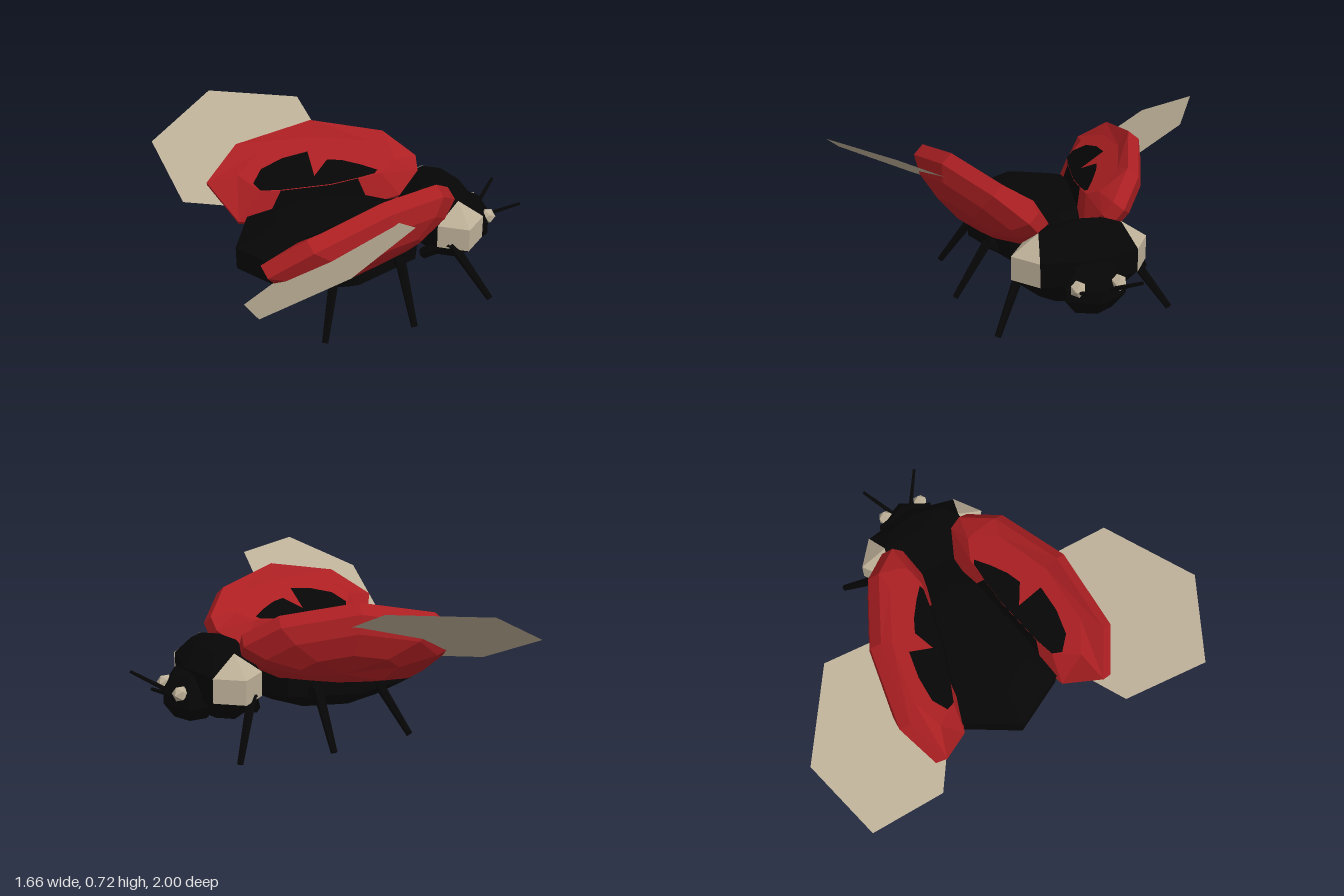
import * as THREE from 'three';

const material = (name, color, side = THREE.FrontSide) => {
  const m = new THREE.MeshStandardMaterial({ color, flatShading: true, side });
  m.name = name;
  return m;
};

function named(name, geo, mat) {
  const mesh = new THREE.Mesh(geo, mat);
  mesh.name = name;
  return mesh;
}

// Mesh from a list of triangles, each a triple of Vector3
function triMesh(name, tris, mat) {
  const geo = new THREE.BufferGeometry().setFromPoints(tris.flat());
  geo.computeVertexNormals();
  return named(name, geo, mat);
}

// Faceted rounded solid: profile of [radius ratio, height], a corner pointing along x
function facetedSolid(name, profile, sides, rx, rz, cx, mat) {
  const geo = new THREE.LatheGeometry(profile.map(([r, y]) => new THREE.Vector2(r, y)), sides, Math.PI / 2);
  geo.scale(rx, 1, rz).translate(cx, 0, 0);
  return named(name, geo, mat);
}

// Tilted plane through o with normal n, giving height from plan position
const tilted = (n, o) => (x, z) => o.y - (n.x * (x - o.x) + n.z * (z - o.z)) / n.y;

// Thin plate lying on a tilted plane, outlined in plan by [x, z]
function plate(name, outline, height, mat) {
  const geo = new THREE.ShapeGeometry(new THREE.Shape(outline.map(([x, z]) => new THREE.Vector2(x, -z))));
  geo.rotateX(-Math.PI / 2);
  const p = geo.attributes.position;
  for (let i = 0; i < p.count; i++) p.setY(i, height(p.getX(i), p.getZ(i)));
  geo.computeVertexNormals();
  return named(name, geo, mat);
}

// Tapered rod between two points
function rod(name, a, b, ra, rb, mat) {
  const from = new THREE.Vector3(...a), to = new THREE.Vector3(...b);
  const dir = to.clone().sub(from);
  const mesh = named(name, new THREE.CylinderGeometry(rb, ra, dir.length(), 6), mat);
  mesh.position.copy(from).add(to).multiplyScalar(0.5);
  mesh.quaternion.setFromUnitVectors(new THREE.Vector3(0, 1, 0), dir.normalize());
  return mesh;
}

// Wing case: raised inner plateau, straight rim, shallow domed outside.
// Outline entries are [x, z, extra height]; two of the inner bevels are dark.
function wingCase(n, edgeHeight, plateauHeight, red, black) {
  const outline = [[0.37, 0.135], [0.25, 0.09], [0.09, 0.112], [-0.1, 0.14], [-0.43, 0.225], [-0.56, 0.27],
    [-0.67, 0.42, 0.035], [-0.48, 0.51], [-0.09, 0.465], [0.25, 0.315], [0.38, 0.185]];
  const darkBevels = [2, 3];
  const edge = outline.map(([x, z, lift = 0]) => new THREE.Vector3(x, edgeHeight(x, z) + lift, z));
  const c = edge.reduce((s, p) => s.add(p), new THREE.Vector3()).divideScalar(edge.length);
  const ring = (scale, depth) => edge.map(p => p.clone().sub(c).multiplyScalar(scale).add(c).addScaledVector(n, -depth));
  const plateau = scale => ring(scale, 0).map(p => p.setY(plateauHeight(p.x, p.z)));
  const rings = [plateau(0), plateau(0.74), edge, ring(1, 0.07), ring(0.79, 0.135), ring(0.45, 0.182), ring(0, 0.192)];
  const shell = [], dark = [];
  for (let k = 0; k < rings.length - 1; k++) {
    const a = rings[k], b = rings[k + 1];
    for (let i = 0; i < edge.length; i++) {
      const j = (i + 1) % edge.length;
      const tris = k === 1 && darkBevels.includes(i) ? dark : shell;
      if (k < rings.length - 2) tris.push([b[i], b[j], a[j]]);
      if (k > 0) tris.push([b[i], a[j], a[i]]);
    }
  }
  const group = new THREE.Group();
  group.name = 'wingCase';
  group.add(triMesh('caseShell', shell, red), triMesh('caseInnerBevel', dark, black));
  return group;
}

export function createModel() {
  const black = material('black shell', 0x060606);
  const red = material('red wing case', 0xab1f22);
  const beige = material('beige', 0xbdb098, THREE.DoubleSide);
  const model = new THREE.Group();
  model.name = 'beetle';

  // Abdomen, thorax and head
  model.add(
    facetedSolid('abdomen', [[0, 0.1], [0.62, 0.13], [1, 0.225], [1, 0.34], [0.62, 0.41], [0, 0.43]], 8, 0.49, 0.37, -0.17, black),
    facetedSolid('thorax', [[0, 0.12], [0.6, 0.14], [1, 0.25], [1, 0.37], [0.6, 0.465], [0, 0.5]], 8, 0.175, 0.335, 0.43, black),
    facetedSolid('head', [[0, 0.1], [0.62, 0.125], [1, 0.2], [1, 0.26], [0.62, 0.345], [0, 0.37]], 6, 0.14, 0.17, 0.57, black),
  );

  // Planes of the wing case edge, its plateau, the marking and the flight wing
  const V = (x, y, z) => new THREE.Vector3(x, y, z);
  const caseNormal = V(-0.22, 0.63, -0.74).normalize();
  const edgeHeight = tilted(caseNormal, V(-0.55, 0.32, 0.27));
  const plateauNormal = V(-0.22, 1, -0.65);
  const plateauHeight = tilted(plateauNormal, V(-0.15, 0.587, 0.355));
  const markingHeight = tilted(plateauNormal, V(-0.15, 0.592, 0.355));
  const wingHeight = tilted(V(-0.28, 0.85, -0.44), V(-0.42, 0.54, 0.62));

  for (const s of [1, -1]) {
    const half = new THREE.Group();
    half.name = s > 0 ? 'leftHalf' : 'rightHalf';

    // Raised wing case with dark inner marking, and flat flight wing
    half.add(wingCase(caseNormal, edgeHeight, plateauHeight, red, black));
    half.add(plate('caseMarking', [[-0.46, 0.31], [-0.4, 0.36], [-0.28, 0.37], [-0.15, 0.355], [-0.16, 0.235],
      [-0.07, 0.285], [0, 0.255], [0.085, 0.2], [0.15, 0.15], [0.13, 0.14], [0.043, 0.15], [-0.097, 0.171],
      [-0.342, 0.234], [-0.438, 0.267]], markingHeight, black));
    half.add(plate('flightWing', [[-0.47, 1], [-0.06, 0.74], [-0.01, 0.36], [-0.37, 0.24], [-0.78, 0.5], [-0.83, 0.88]],
      wingHeight, beige));

    // Pale cheek patch on the thorax side
    const v = (x, y, z) => V(x, y, z + 0.005);
    const tris = [];
    const mid = [v(0.43, 0.25, 0.335), v(0.43, 0.37, 0.335)], peak = v(0.43, 0.467, 0.201);
    for (const d of [1, -1]) {
      const x = 0.43 + d * 0.126;
      const lo = v(x, 0.25, 0.237), hi = v(x, 0.37, 0.237);
      const part = [[mid[0], lo, hi], [mid[0], hi, mid[1]], [mid[1], hi, peak]];
      tris.push(...part.map(t => (d > 0 ? t : [t[0], t[2], t[1]])));
    }
    half.add(triMesh('cheekPatch', tris, beige));

    // Eye and antenna
    const eye = named('eye', new THREE.IcosahedronGeometry(0.04, 0), beige);
    eye.position.set(0.663, 0.272, 0.1);
    half.add(eye, rod('antenna', [0.66, 0.24, 0.04], [0.82, 0.335, 0.148], 0.012, 0.008, black));

    // Three legs: hip, knee, foot
    const legs = {
      frontLeg: [[0.29, 0.15, 0.12], [0.37, 0.27, 0.27], [0.51, 0.01, 0.435]],
      middleLeg: [[0.06, 0.16, 0.14], [0.06, 0.28, 0.34], [0.06, 0.01, 0.51]],
      rearLeg: [[-0.2, 0.16, 0.14], [-0.27, 0.28, 0.31], [-0.385, 0.01, 0.465]],
    };
    for (const [name, [hip, knee, foot]] of Object.entries(legs)) {
      const leg = new THREE.Group();
      leg.name = name;
      leg.add(rod('thigh', hip, knee, 0.03, 0.026, black), rod('shin', knee, foot, 0.026, 0.016, black));
      half.add(leg);
    }

    half.scale.z = s;
    model.add(half);
  }
  return model;
}
